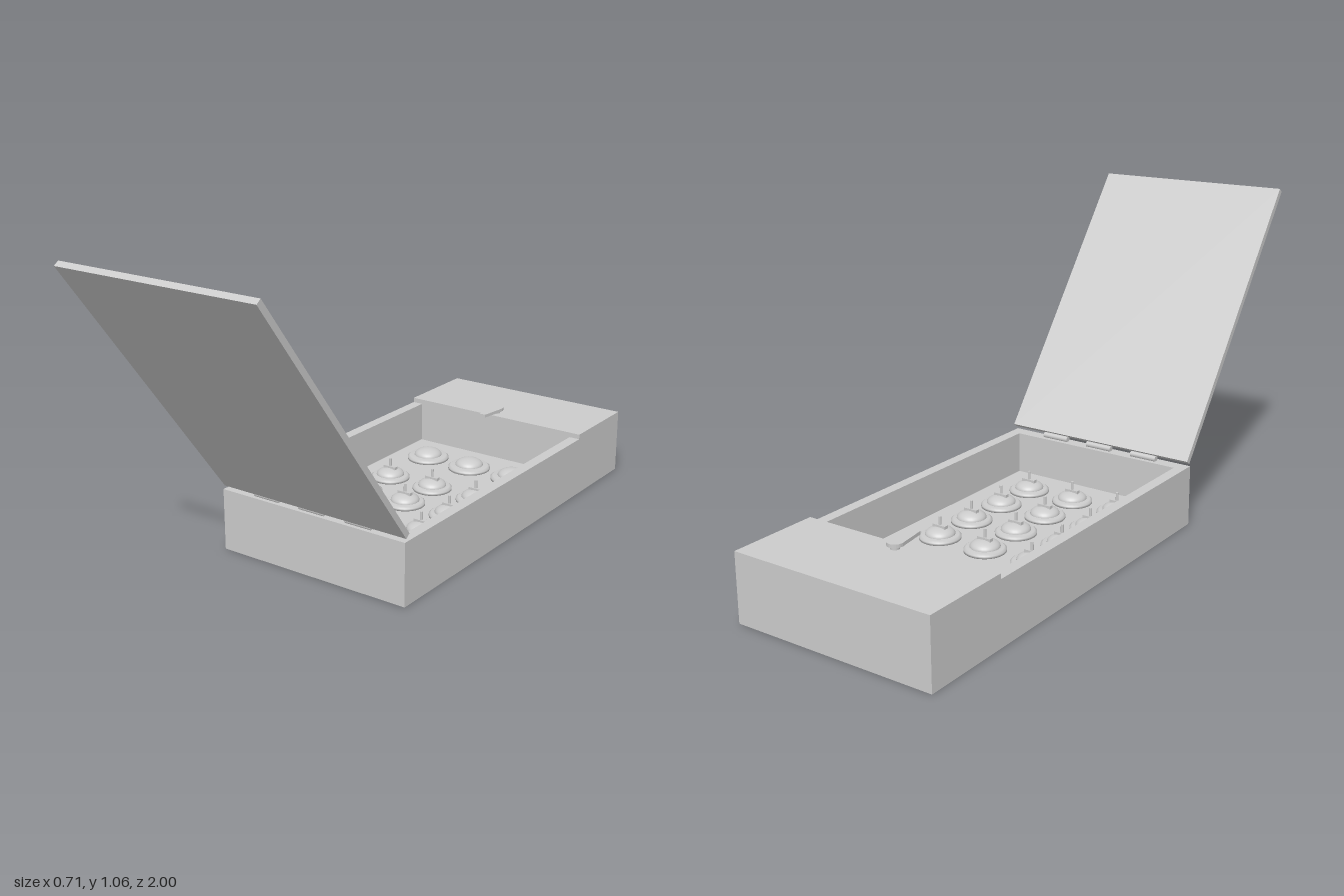
import * as THREE from 'three';

const grey = new THREE.MeshStandardMaterial({ color: 0xcccccc });

function add(parent, name, geometry, x = 0, y = 0, z = 0) {
  const mesh = new THREE.Mesh(geometry, grey);
  mesh.name = name;
  mesh.position.set(x, y, z);
  parent.add(mesh);
  return mesh;
}

function block(parent, name, w, y0, y1, z0, z1, x = 0) {
  return add(parent, name, new THREE.BoxGeometry(w, y1 - y0, z1 - z0), x, (y0 + y1) / 2, (z0 + z1) / 2);
}

// Extrude a plan outline upwards; outline points are [x, z]
function slab(outline, height) {
  const shape = new THREE.Shape(outline.map(([x, z]) => new THREE.Vector2(x, -z)));
  return new THREE.ExtrudeGeometry(shape, { depth: height, bevelEnabled: false }).rotateX(-Math.PI / 2);
}

const W = 0.353, FLOOR = 0.065, RIM = 0.208, TOP = 0.225;
const COLUMNS = [-0.185, -0.007, 0.171];

// Round base with a shallow dome on it
function makeStud(baseRadius, domeRadius) {
  const stud = new THREE.Group();
  const base = [[0, 0], [baseRadius, 0], [baseRadius, 0.008], [baseRadius - 0.008, 0.014], [0, 0.018]];
  const profile = base.map(([r, y]) => new THREE.Vector2(r, y));
  add(stud, 'studBase', new THREE.LatheGeometry(profile, 32));
  const dome = new THREE.SphereGeometry(domeRadius, 28, 10, 0, Math.PI * 2, 0, Math.PI / 2);
  add(stud, 'studDome', dome.scale(1, 0.5, 1), 0, 0.014, 0);
  return stud;
}

export function createModel() {
  const model = new THREE.Group();
  model.name = 'hingedCase';

  // Tray: floor, three walls and the raised end block
  block(model, 'trayFloor', 2 * W, 0, FLOOR, -0.695, 0.38);
  const walls = [[-W, -0.695], [-W, 0.38], [W, 0.38], [W, -0.695],
    [0.315, -0.695], [0.315, 0.335], [-0.315, 0.335], [-0.315, -0.695]];
  add(model, 'trayWalls', slab(walls, RIM - FLOOR), 0, FLOOR, 0);
  block(model, 'endBlock', 2 * W, 0, TOP, -1, -0.695);

  // Studs: one plain row, four rows with a bar and pin
  for (const x of COLUMNS) {
    const plain = makeStud(0.075, 0.05);
    plain.name = 'plainStud';
    plain.position.set(x, FLOOR, -0.545);
    model.add(plain);
    for (let row = 0; row < 4; row++) {
      const stud = makeStud(0.068, 0.049);
      stud.name = 'pinnedStud';
      stud.position.set(x, FLOOR, -0.305 + row * 0.165);
      block(stud, 'studBar', 0.05, 0.02, 0.045, -0.008, 0.008);
      add(stud, 'studPin', new THREE.CylinderGeometry(0.005, 0.005, 0.04, 10), 0, 0.053, 0);
      model.add(stud);
    }
  }

  // Swivel latch: tapered plate on a short post
  const latch = new THREE.Group();
  latch.name = 'latch';
  latch.position.set(-0.008, 0, -0.73);
  const plate = [[0.012, 0.1], [0.026, 0.005]];
  for (let i = 1; i < 12; i++) {
    const a = (i / 12) * Math.PI;
    plate.push([0.026 * Math.cos(a), 0.002 - 0.026 * Math.sin(a)]);
  }
  plate.push([-0.026, 0.005], [-0.012, 0.1]);
  add(latch, 'latchPlate', slab(plate, 0.011), 0, 0.236, 0);
  add(latch, 'latchPost', new THREE.CylinderGeometry(0.014, 0.014, 0.014, 20), 0, 0.23, 0);
  model.add(latch);

  // Open lid, leaning forward from the hinge line
  const lid = add(model, 'lid', new THREE.BoxGeometry(2 * W, 1.042, 0.02), 0, 0.64, 0.6785);
  lid.rotation.x = Math.atan2(0.627, 0.832);

  // Hinge barrels
  for (const x of COLUMNS) {
    const barrel = new THREE.CylinderGeometry(0.01, 0.01, 0.097, 16).rotateZ(Math.PI / 2);
    add(model, 'hinge', barrel, x, 0.215, 0.359);
  }
  return model;
}
